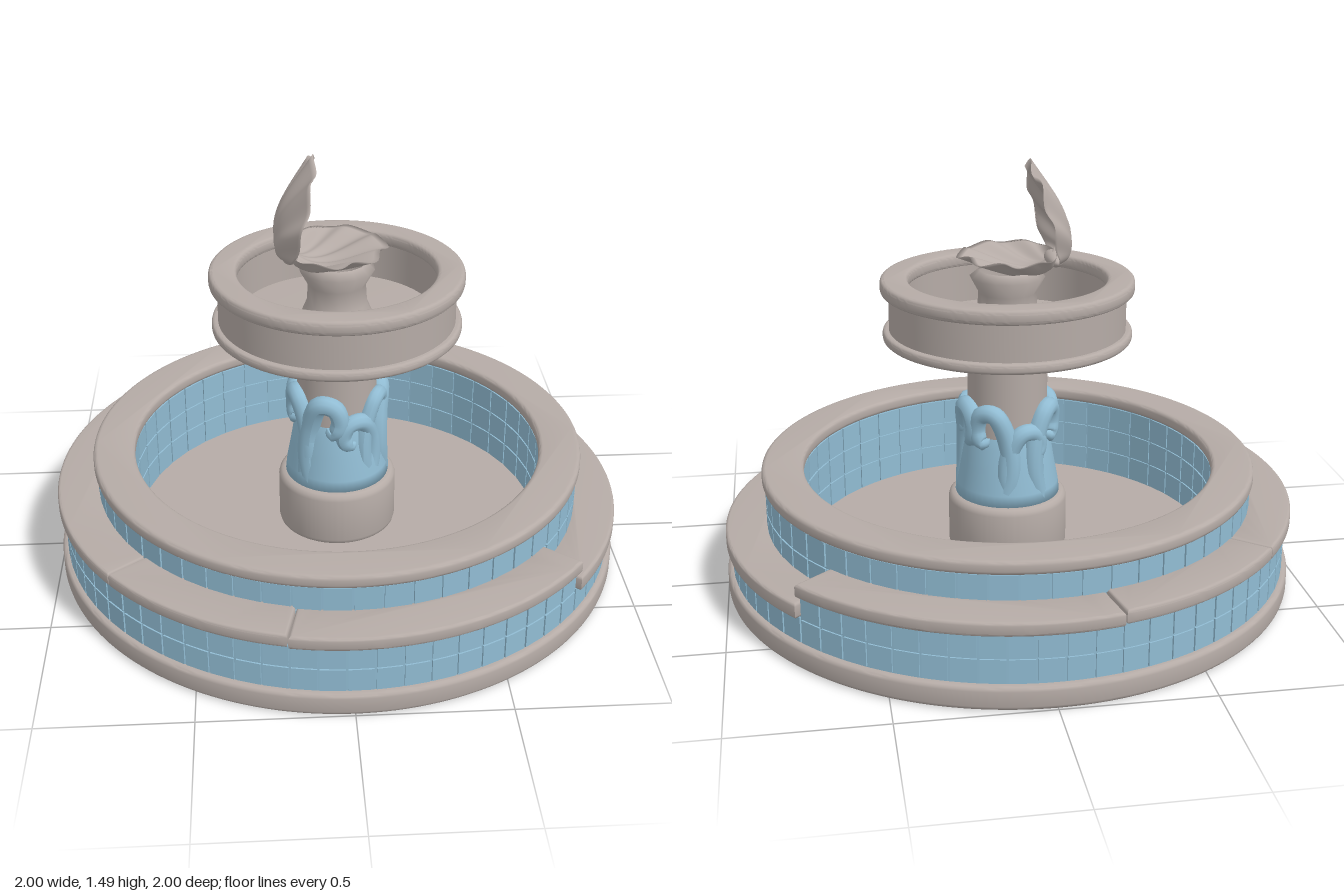
import * as THREE from 'three';
import { mergeGeometries, toCreasedNormals } from 'three/addons/utils/BufferGeometryUtils.js';
import { ParametricGeometry } from 'three/addons/geometries/ParametricGeometry.js';

const stone = new THREE.MeshStandardMaterial({ color: 0xb5aba6, side: THREE.DoubleSide });
stone.name = 'warm grey stone';
const blue = new THREE.MeshStandardMaterial({ color: 0x91bcd3 });
blue.name = 'pale blue tile';

const rad = THREE.MathUtils.degToRad;

function part(name, geometry, material) {
  const mesh = new THREE.Mesh(geometry, material);
  mesh.name = name;
  return mesh;
}

// Disc, ring or ring segment (degrees) between two heights, with rounded edges
function ring(r0, r1, y0, y1, bevel = 0.012, a0 = 0, a1 = 360) {
  const shape = new THREE.Shape();
  if (a1 - a0 >= 360) {
    shape.absarc(0, 0, r1, 0, Math.PI * 2, false);
    if (r0 > 0) {
      const hole = new THREE.Path();
      hole.absarc(0, 0, r0, 0, Math.PI * 2, true);
      shape.holes.push(hole);
    }
  } else {
    shape.absarc(0, 0, r1, rad(a0), rad(a1), false);
    shape.absarc(0, 0, r0, rad(a1), rad(a0), true);
    shape.closePath();
  }
  const geo = new THREE.ExtrudeGeometry(shape, {
    depth: y1 - y0 - 2 * bevel, curveSegments: Math.max(12, Math.round((a1 - a0) / 3.75)),
    bevelEnabled: bevel > 0, bevelThickness: bevel, bevelSize: bevel, bevelOffset: -bevel, bevelSegments: 3,
  });
  geo.rotateX(-Math.PI / 2).translate(0, y0 + bevel, 0);
  return toCreasedNormals(geo, 0.6);
}

// Rows of slightly raised square tiles on a round wall
function tiles(r, y0, y1, rows, count, a0 = 0, a1 = 360) {
  const list = [];
  const step = rad(a1 - a0) / count;
  const h = (y1 - y0) / rows;
  for (let row = 0; row < rows; row++) {
    for (let i = 0; i < count; i++) {
      const tile = new THREE.BoxGeometry(0.012, h - 0.007, r * step - 0.007);
      tile.translate(r, y0 + (row + 0.5) * h, 0).rotateY(rad(a0) + (i + 0.5) * step);
      list.push(tile);
    }
  }
  return mergeGeometries(list);
}

// Scalloped shell: a fan from the hinge along +x, bowl towards -y
function shell(length, depth) {
  const geo = new ParametricGeometry((u, v, p) => {
    const a = (u - 0.5) * Math.PI * 0.98;
    const outer = v < 0.5;
    const s = outer ? 2 * v : 2 - 2 * v;
    const lobe = Math.cos(14 * a);
    const size = Math.pow(Math.cos(a), 0.63);
    const reach = s * length * size * (0.97 + 0.03 * lobe);
    let y = -depth * Math.pow(size, 0.7) * Math.sin(Math.PI * Math.pow(s, 0.65));
    y -= 0.009 * lobe * size * (outer ? s ** 3 : s);
    if (!outer) y += 0.018 * (1 - s ** 6) * size;
    p.set(reach * Math.cos(a), y, reach * Math.sin(a) * 0.95);
  }, 98, 32);
  geo.computeVertexNormals();
  return geo;
}

// Tapered strand that rises round the column and curls over at its crest
function wave(angle, top, thick, dir) {
  const path = [[-0.04, 0], [-0.065, 0.3], [-0.055, 0.62], [-0.01, 0.88],
    [0.04, 0.86], [0.058, 0.7], [0.035, 0.58], [0.01, 0.64]];
  const base = 0.3;
  const height = top - thick - base + 0.035;
  const points = path.map(([s, y], i) => {
    const r = 0.142 + (i > 2 && i < 7 ? 0.008 : 0);
    const t = rad(angle) + dir * s / 0.145;
    return new THREE.Vector3(Math.sin(t) * r, base + y * height, Math.cos(t) * r);
  });
  const curve = new THREE.CatmullRomCurve3(points);
  const segments = 48, sides = 12;
  const geo = new THREE.TubeGeometry(curve, segments, thick, sides, false);
  const pos = geo.attributes.position;
  const v = new THREE.Vector3();
  for (let j = 0; j <= segments; j++) {
    const t = j / segments;
    const c = curve.getPointAt(t);
    const k = (1.15 - 0.3 * t) * Math.sqrt(Math.max(0, Math.min(1, (1 - t) * 9)));
    for (let i = 0; i <= sides; i++) {
      const n = j * (sides + 1) + i;
      v.fromBufferAttribute(pos, n).sub(c).multiplyScalar(k).add(c);
      pos.setXYZ(n, v.x, v.y, v.z);
    }
  }
  geo.computeVertexNormals();
  return geo;
}

export function createModel() {
  const model = new THREE.Group();
  model.name = 'fountain';
  const add = (name, geo, mat) => {
    const mesh = part(name, geo, mat);
    model.add(mesh);
    return mesh;
  };

  // Foot and pool floor
  add('foot', ring(0, 1, 0, 0.08, 0.015), stone);
  add('poolFloor', ring(0, 0.74, 0.07, 0.1, 0), stone);

  // Outer tiled wall: high round most of the circle, lower at the left side
  const low = 39.5;
  add('outerWallHigh', ring(0.84, 0.975, 0.06, 0.265, 0, low, 360 - low), blue);
  add('outerWallLow', ring(0.84, 0.975, 0.06, 0.185, 0, -low, low), blue);
  add('outerTilesHigh', tiles(0.974, 0.08, 0.255, 2, 54, low, 360 - low), blue);
  add('outerTilesLow', tiles(0.974, 0.08, 0.175, 1, 15, -low, low), blue);

  // Ledge slabs, with narrow joints and small steps between them
  const slabs = [[-low, low, 0.172, 0.226], [low, 102, 0.25, 0.297], [102, 141, 0.256, 0.304],
    [141, 219, 0.256, 0.302], [219, 258, 0.256, 0.304], [258, 360 - low, 0.25, 0.297]];
  slabs.forEach(([a0, a1, y0, y1]) =>
    add('ledgeSlab', ring(0.845, 1, y0, y1, 0.01, a0 + 0.1, a1 - 0.1), stone));

  // Pool wall with tiles on both faces, and its rim
  add('poolWall', ring(0.73, 0.85, 0.06, 0.39, 0), blue);
  add('poolWallOuterTiles', tiles(0.849, 0.2, 0.385, 2, 56), blue);
  add('poolWallInnerTiles', tiles(0.73, 0.1, 0.385, 3, 46), blue);
  add('poolRim', ring(0.72, 0.866, 0.383, 0.43, 0.014), stone);

  // Pedestal and column
  add('pedestal', ring(0, 0.21, 0.09, 0.3, 0.025), stone);
  add('column', new THREE.CylinderGeometry(0.14, 0.14, 0.6, 48).translate(0, 0.59, 0), stone);

  // Curling waves round the column
  const sleeve = [[0.14, 0.29], [0.185, 0.295], [0.18, 0.34], [0.165, 0.42], [0.152, 0.5], [0.138, 0.54]]
    .map(([r, y]) => new THREE.Vector2(r, y));
  add('waveBase', new THREE.LatheGeometry(sleeve, 48), blue);
  const crests = [[-22, 0.67, 0.036, 1], [28, 0.585, 0.032, -1], [62, 0.66, 0.03, 1], [100, 0.675, 0.038, 1],
    [150, 0.67, 0.034, -1], [195, 0.59, 0.032, 1], [235, 0.67, 0.036, 1], [288, 0.67, 0.034, -1]];
  crests.forEach(([angle, top, thick, dir]) => add('wave', wave(angle, top, thick, dir), blue));

  // Upper basin
  add('basinFloor', ring(0, 0.43, 0.87, 0.906, 0.012), stone);
  add('basinWall', ring(0.345, 0.408, 0.895, 1.05, 0), stone);
  add('basinRim', ring(0.34, 0.436, 1.035, 1.086, 0.015), stone);

  // Support under the shell
  const support = [[0.13, 0.9], [0.105, 0.96], [0.1, 1.03], [0.13, 1.085], [0.1, 1.11]]
    .map(([r, y]) => new THREE.Vector2(r, y));
  add('shellSupport', new THREE.LatheGeometry(support, 14), stone);

  // Open shell
  const lower = add('lowerShell', shell(0.34, 0.075), stone);
  lower.position.set(-0.165, 1.165, 0);
  const upper = add('upperShell', shell(0.37, 0.08), stone);
  upper.position.set(-0.16, 1.125, 0);
  upper.rotation.z = rad(76);
  upper.scale.y = -1;
  const hinge = add('shellHinge', new THREE.SphereGeometry(1, 24, 12), stone);
  hinge.scale.set(0.03, 0.025, 0.08);
  hinge.position.set(-0.16, 1.14, 0);

  return model;
}
